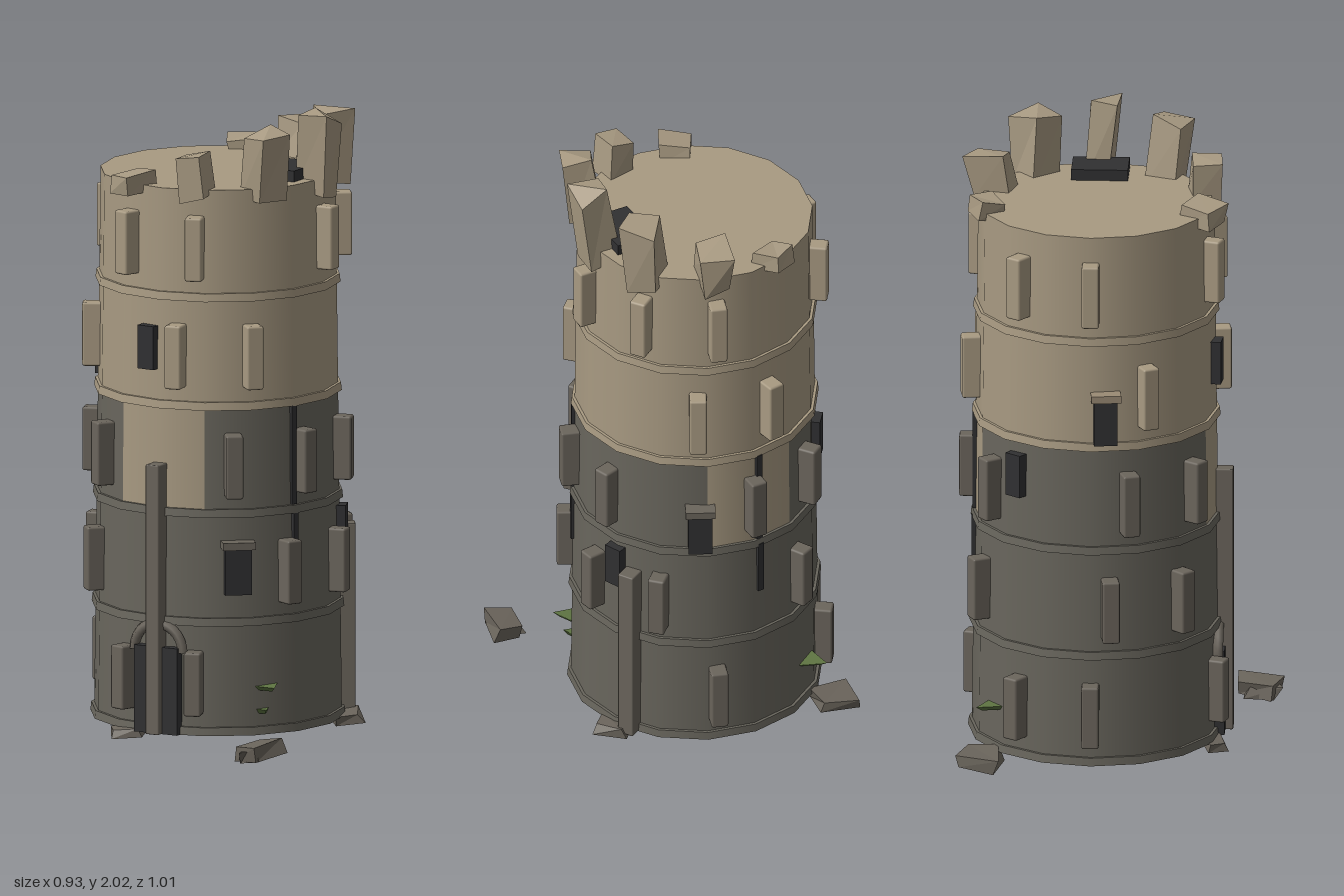
import * as THREE from 'three';
import { RoundedBoxGeometry } from 'three/addons/geometries/RoundedBoxGeometry.js';

const RAD = Math.PI / 180;

export function createModel() {
  const mat = (name, color, extra = {}) => {
    const m = new THREE.MeshStandardMaterial({ color, ...extra });
    m.name = name;
    return m;
  };
  const light = mat('sandStone', 0xa89a82);
  const dark = mat('darkStone', 0x69665d);
  const rubbleMat = mat('rubbleStone', 0x6b655c);
  const trim = mat('trimStone', 0x9a8b75);
  const black = mat('shadowBlack', 0x303032);
  const moss = mat('moss', 0x5f7542);

  const root = new THREE.Group();
  root.name = 'ruinedTower';
  const tower = new THREE.Group();
  tower.name = 'tower';
  tower.position.set(-0.015, 0, -0.066);
  root.add(tower);

  const add = (parent, name, geo, material) => {
    const m = new THREE.Mesh(geo, material);
    m.name = name;
    parent.add(m);
    return m;
  };
  // Wall radius at a height, and placement facing outward at an angle (0 = front, 90 = +x)
  const wallR = (y) => 0.395 - 0.0115 * y;
  const place = (mesh, deg, r, y) => {
    mesh.position.set(Math.sin(deg * RAD) * r, y, Math.cos(deg * RAD) * r);
    mesh.rotation.y = deg * RAD;
    return mesh;
  };

  // Small seeded generator for broken stones
  let seed = 7;
  const rnd = () => {
    seed = (seed * 16807) % 2147483647;
    return seed / 2147483647 - 0.5;
  };
  // Box with its corners shifted, shared corners moving together
  const brokenBox = (w, h, d, amount) => {
    const g = new THREE.BoxGeometry(w, h, d);
    const p = g.attributes.position;
    const shift = {};
    for (let i = 0; i < p.count; i++) {
      const key = [p.getX(i), p.getY(i), p.getZ(i)].map(Math.sign).join();
      shift[key] ??= [rnd() * w * amount, rnd() * h * amount, rnd() * d * amount];
      const s = shift[key];
      p.setXYZ(i, p.getX(i) + s[0], p.getY(i) + s[1], p.getZ(i) + s[2]);
    }
    const flat = g.toNonIndexed();
    flat.computeVertexNormals();
    return flat;
  };

  // Storeys of the drum; the middle one has pale panels at front and back
  const levels = [0.03, 0.395, 0.745, 1.09, 1.44, 1.785];
  for (let i = 0; i < 5; i++) {
    const y0 = levels[i], y1 = levels[i + 1], yc = (y0 + y1) / 2;
    const arcs = i === 2
      ? [[-22.5, 45, light], [22.5, 135, dark], [157.5, 45, light], [202.5, 135, dark]]
      : [[0, 360, i < 2 ? dark : light]];
    for (const [start, len, m] of arcs) {
      const g = new THREE.CylinderGeometry(wallR(y1), wallR(y0), y1 - y0, len / 22.5, 1,
        len < 360, start * RAD, len * RAD);
      add(tower, 'storeyWall', g, m).position.y = yc;
    }
    // Ledge at the foot of each storey
    const r = wallR(y0) + 0.012, h = 0.026;
    const ledge = add(tower, 'ledge', new THREE.CylinderGeometry(r - 0.003, r, h, 16), i < 3 ? dark : light);
    ledge.position.y = y0 + (i ? 0 : h / 2);
  }

  // Buttress blocks on each storey, some missing
  const buttresses = [
    [0.2, [18, 162, 234, 270, 342]],
    [0.55, [63, 99, 135, 207, 279, 315]],
    [0.9, [36, 72, 108, 180, 216, 288, 324]],
    [1.25, [9, 45, 153, 189, 297]],
    [1.6, [18, 90, 126, 162, 234, 270, 342]],
  ];
  const block = new RoundedBoxGeometry(0.055, 0.205, 0.07, 1, 0.007);
  buttresses.forEach(([y, angles], i) => {
    for (const a of angles) place(add(tower, 'buttress', block, i < 3 ? rubbleMat : light), a, wallR(y) + 0.014, y);
  });

  // Tall pilasters
  for (const [a, top, w] of [[0, 0.9, 0.048], [121, 0.64, 0.055]]) {
    const g = new RoundedBoxGeometry(w, top - 0.03, 0.06, 1, 0.004);
    place(add(tower, 'pilaster', g, rubbleMat), a, 0.405, (top + 0.03) / 2);
  }

  // Doorway with arch
  const door = new THREE.Group();
  door.name = 'doorway';
  tower.add(door);
  add(door, 'door', new THREE.BoxGeometry(0.155, 0.28, 0.04), black).position.set(0, 0.17, 0.39);
  add(door, 'doorArch', new THREE.TorusGeometry(0.088, 0.017, 5, 14, Math.PI), rubbleMat).position.set(0, 0.295, 0.39);

  // Windows: angle, centre height, width, height, lintel
  const windows = [
    [-6, 1.27, 0.06, 0.14, false],
    [38, 0.56, 0.085, 0.15, true],
    [112, 0.64, 0.06, 0.14, false],
    [154, 0.825, 0.075, 0.15, true],
    [232, 0.97, 0.06, 0.14, false],
    [277, 1.175, 0.075, 0.15, true],
  ];
  for (const [a, y, w, h, lintel] of windows) {
    place(add(tower, 'window', new THREE.BoxGeometry(w, h, 0.04), black), a, wallR(y) + 0.003, y);
    if (lintel) {
      const g = new THREE.BoxGeometry(w + 0.02, 0.024, 0.06);
      place(add(tower, 'lintel', g, y > 1 ? trim : rubbleMat), a, wallR(y) + 0.012, y + h / 2 + 0.01);
    }
  }

  // Cracks
  for (const a of [67, 183]) {
    for (const [y, h, da] of [[0.92, 0.32, 0], [0.65, 0.18, 0.6]]) {
      place(add(tower, 'crack', new THREE.BoxGeometry(0.02, h, 0.02), black), a + da, wallR(y) - 0.002, y);
    }
  }

  // Broken crown stones: angle, width, height, depth, centre height, twist, lean
  const crown = [
    [17, 0.095, 0.13, 0.1, 1.825, -8, 0.1],
    [53, 0.1, 0.2, 0.1, 1.855, 12, 0.12],
    [90, 0.085, 0.25, 0.11, 1.865, -4, 0.12],
    [125, 0.1, 0.21, 0.11, 1.86, 10, 0.1],
    [161, 0.095, 0.12, 0.12, 1.83, 4, 0.12],
    [196, 0.09, 0.06, 0.1, 1.79, 14, -0.1],
    [341, 0.1, 0.06, 0.1, 1.785, -8, 0.15],
  ];
  for (const [a, w, h, d, y, twist, lean] of crown) {
    const s = place(add(tower, 'crownStone', brokenBox(w, h, d, 0.22), light), a, 0.36, y);
    s.rotation.set(lean, (a + twist) * RAD, lean * 0.6, 'YXZ');
  }

  // Hatch on the roof
  add(root, 'roofHatch', new THREE.BoxGeometry(0.13, 0.045, 0.18), black).position.set(0.245, 1.798, -0.065);

  // Rubble at the foot: x, y, z, width, height, depth, turn
  const rubble = [
    [0.405, 0.03, 0.425, 0.085, 0.045, 0.12, -12],
    [0.4, 0.022, 0.44, 0.07, 0.035, 0.1, 10],
    [-0.32, 0.022, -0.42, 0.12, 0.04, 0.11, -8],
    [0.36, 0.025, -0.22, 0.09, 0.03, 0.1, 35],
    [-0.14, 0.02, 0.31, 0.1, 0.03, 0.07, 20],
  ];
  for (const [x, y, z, w, h, d, turn] of rubble) {
    const s = add(root, 'rubble', brokenBox(w, h, d, 0.3), rubbleMat);
    s.position.set(x, y, z);
    s.rotation.set(0.1, turn * RAD, 0.08);
  }

  // Moss tufts: flat three-sided wedges growing from the wall
  for (const [a, y, size] of [[52, 0.18, 0.07], [50, 0.105, 0.04], [217, 0.17, 0.075]]) {
    const g = new THREE.CylinderGeometry(size, size * 0.7, 0.014, 3);
    place(add(tower, 'moss', g, moss), a, 0.385, y).rotation.z = 0.05;
  }

  return root;
}
